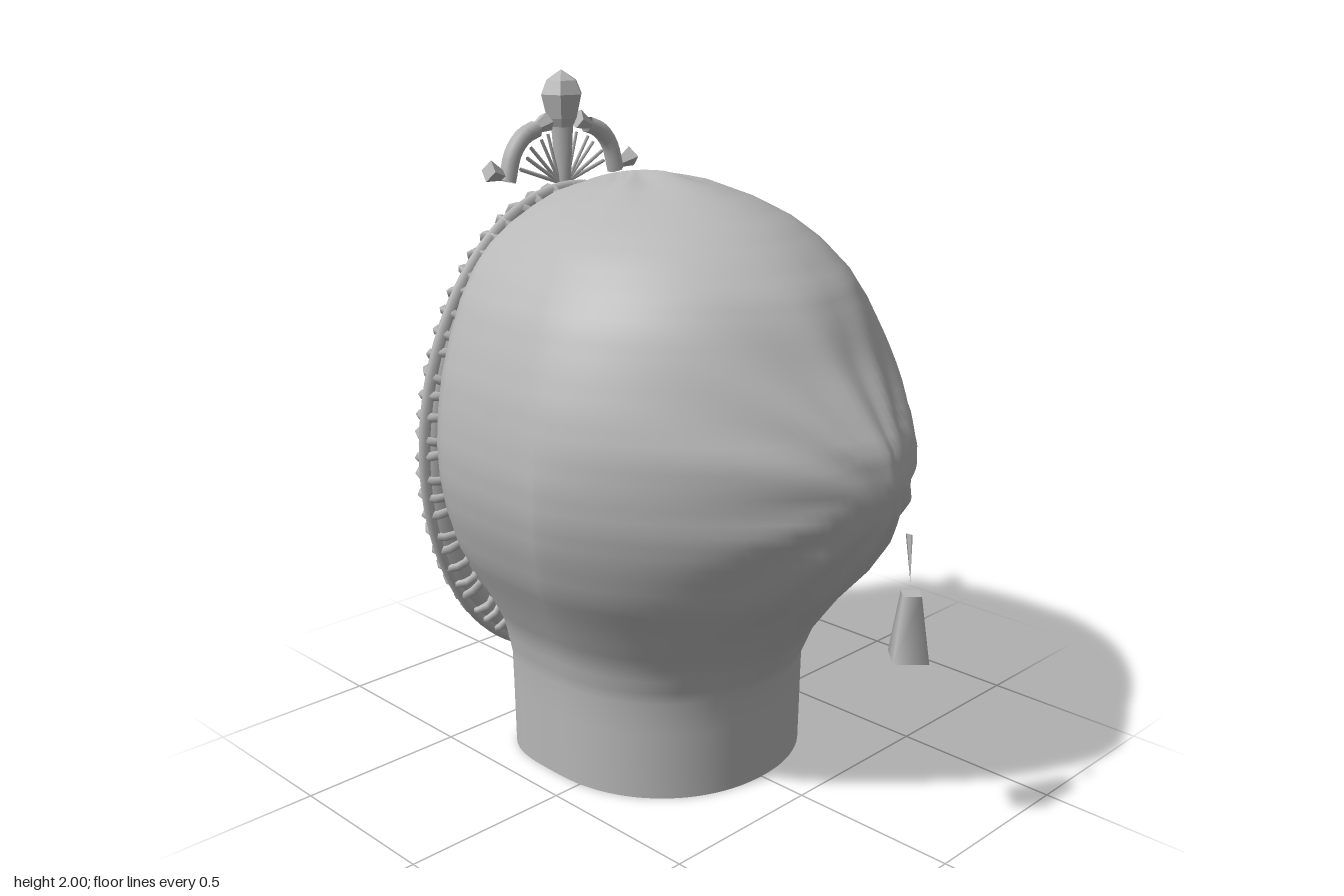
import * as THREE from 'three';

const grey = new THREE.MeshStandardMaterial({ color: 0xb8b8b8, side: THREE.DoubleSide });
grey.name = 'plain grey';
const V = (x, y, z) => new THREE.Vector3(x, y, z);

// Surface over a grid of (i, j) from a point function
function grid(nu, nv, fn) {
  const pos = [], idx = [];
  for (let i = 0; i <= nu; i++) for (let j = 0; j <= nv; j++) pos.push(...fn(i / nu, j / nv));
  for (let i = 0; i < nu; i++) for (let j = 0; j < nv; j++) {
    const a = i * (nv + 1) + j, b = a + nv + 1;
    idx.push(a, a + 1, b, a + 1, b + 1, b);
  }
  const g = new THREE.BufferGeometry();
  g.setAttribute('position', new THREE.Float32BufferAttribute(pos, 3));
  g.setIndex(idx);
  g.computeVertexNormals();
  return g;
}

// Linear lookup in a table of pairs sorted by the first value
function look(table, y) {
  for (let i = 1; i < table.length; i++) {
    const a = table[i - 1], b = table[i];
    if (y <= b[0]) return a[1] + (b[1] - a[1]) * Math.max(0, (y - a[0]) / (b[0] - a[0]));
  }
  return table[table.length - 1][1];
}

// Hood rows: height, half width, front reach, roundness
const HOOD = [
  [0, 0.415, 0.345, 2.1], [0.3, 0.42, 0.35, 2.1], [0.42, 0.445, 0.41, 2], [0.55, 0.51, 0.51, 1.85],
  [0.67, 0.575, 0.62, 1.7], [0.8, 0.62, 0.715, 1.55], [0.9, 0.64, 0.765, 1.5], [1, 0.645, 0.79, 1.45],
  [1.1, 0.635, 0.775, 1.48], [1.2, 0.615, 0.71, 1.55], [1.3, 0.58, 0.64, 1.65], [1.4, 0.535, 0.585, 1.7],
  [1.48, 0.48, 0.53, 1.75], [1.56, 0.41, 0.44, 1.8], [1.62, 0.33, 0.35, 1.9], [1.67, 0.24, 0.24, 2],
  [1.71, 0.14, 0.12, 2], [1.74, 0, -0.05, 2],
];
const BACK = -0.37;

function hoodPoint(u, v) {
  const row = u * (HOOD.length - 1) * 3;
  const k = Math.min(Math.floor(row / 3), HOOD.length - 2), f = row / 3 - k;
  const [y0, w, zf, p] = HOOD[k].map((a, c) => a + (HOOD[k + 1][c] - a) * f);
  const t = v * 2 - 1, s = Math.abs(t), zs = BACK + 0.41 * (zf - BACK);
  // the neck wraps further round than the upper hood
  const neck = 1 - THREE.MathUtils.smoothstep(y0, 0.25, 0.7);
  const corner = 0.08 + 0.1 * neck, lip = 0.1 + 0.08 * neck;
  let x, z, y = y0, front = 0;
  if (s > 0.94) {                       // turned-in lip at the open back
    x = w * (1 - corner - lip * (s - 0.94) / 0.06); z = BACK;
  } else if (s > 0.7) {                 // sides
    const q = (s - 0.7) / 0.24;
    x = w * (1 - corner * q ** 4); z = zs + (BACK - zs) * q;
  } else {                              // pointed front
    const a = (1 - s / 0.7) * Math.PI / 2;
    x = w * Math.max(0, Math.cos(a)) ** (2 / p);
    front = Math.sin(a);
    z = zs + (zf - zs) * front ** (2 / p);
  }
  x *= Math.sign(t);
  // folds that fan out from the tip
  const r = Math.hypot(x, y - 1);
  const fade = Math.min(1, r * 4) * Math.max(0, 1 - r / 0.75) * front;
  z += 0.014 * Math.sin(11 * Math.atan2(y - 1, x) + 0.6) * fade;
  // crown slopes down to the back, with small pleats round its pinch
  if (z < -0.05 && y > 1.5) y -= 0.05 * ((-0.05 - z) / 0.32) ** 2 * (y - 1.5) / 0.24;
  const c = Math.hypot(x, z + 0.17);
  if (y0 > 1.6) y += 0.007 * Math.sin(8 * Math.atan2(z + 0.17, x)) * Math.min(1, c * 6) * Math.max(0, 1 - c / 0.35);
  return [x, y, z];
}

// Oval frame, leaning a little with height
const MID = 0.92;
const lean = y => -0.5 + 0.045 * (y - MID);
function oval(rx, ry, dz = 0) {
  const pts = [];
  for (let i = 0; i < 40; i++) {
    const a = i / 40 * Math.PI * 2, y = MID + ry * Math.sin(a);
    pts.push(V(rx * Math.cos(a), y, lean(y) + dz));
  }
  return new THREE.CatmullRomCurve3(pts, true);
}

// Depth of the rear dome by height
const DOME = [[0.22, 0], [0.25, 0.06], [0.28, 0.1], [0.38, 0.21], [0.5, 0.285], [0.63, 0.31], [0.76, 0.295],
  [0.89, 0.27], [1.16, 0.22], [1.39, 0.14], [1.58, 0.075], [1.62, 0]];

function domePoint(u, v) {
  const a = v * Math.PI * 2, s = Math.sin(u * Math.PI / 2);
  const x = 0.465 * s * Math.cos(a), y = MID + 0.7 * s * Math.sin(a);
  let d = look(DOME, y) * Math.sqrt(Math.max(0, 1 - s * s * Math.cos(a) ** 2 / (1 - (s * Math.sin(a)) ** 2 + 1e-6)));
  // broken, sunken patch with a jagged lower edge
  const jag = 1.06 + 0.09 * Math.abs(((x * 5 + 10) % 1) * 2 - 1);
  if (x > -0.1 && x < 0.34 && y > jag && y < 1.4 - 0.5 * Math.abs(x - 0.15)) d -= 0.03;
  return [x, y, lean(y) - d];
}

export function createModel() {
  const root = new THREE.Group();
  const add = (geo, name, parent = root) => {
    const m = new THREE.Mesh(geo, grey);
    m.name = name;
    parent.add(m);
    return m;
  };
  const flat = g => { const n = g.toNonIndexed(); n.computeVertexNormals(); return n; };
  const tube = (pts, r, name, parent, sides = 6) =>
    add(new THREE.TubeGeometry(new THREE.CatmullRomCurve3(pts), 10, r, sides), name, parent);

  add(grid((HOOD.length - 1) * 3, 100, hoodPoint), 'hood');

  // Lining drum between hood and frame
  add(grid(3, 56, (u, v) => {
    const a = v * Math.PI * 2, y = MID + (0.71 - 0.04 * u) * Math.sin(a);
    return [0.49 * Math.cos(a), y, -0.37 + u * (lean(y) + 0.37)];
  }), 'lining');
  add(grid(30, 80, domePoint), 'rearDome');

  // Frame: core, two rails and wrapped bands
  const frame = new THREE.Group();
  frame.name = 'ovalFrame';
  root.add(frame);
  const core = oval(0.505, 0.7, -0.005);
  add(new THREE.TubeGeometry(core, 96, 0.042, 8, true), 'frameCore', frame);
  add(new THREE.TubeGeometry(oval(0.55, 0.74, 0.005), 96, 0.018, 6, true), 'outerRail', frame);
  add(new THREE.TubeGeometry(oval(0.46, 0.66, -0.02), 96, 0.014, 6, true), 'innerRail', frame);
  const band = new THREE.TorusGeometry(0.046, 0.014, 5, 10);
  for (let i = 0; i < 64; i++) {
    const m = add(band, 'wrapBand', frame);
    const t = core.getTangentAt(i / 64);
    t.z += 0.3 * Math.sin(i * 2.4);
    m.position.copy(core.getPointAt(i / 64));
    m.quaternion.setFromUnitVectors(V(0, 0, 1), t.normalize());
  }

  // Crest with bud, curls and fan of spokes
  const crest = new THREE.Group();
  crest.name = 'crest';
  crest.position.z = -0.49;
  root.add(crest);
  add(new THREE.CylinderGeometry(0.034, 0.022, 0.19, 6), 'crestPost', crest).position.y = 1.755;
  const bud = add(flat(new THREE.LatheGeometry([
    [0.001, 1.83], [0.036, 1.835], [0.05, 1.86], [0.068, 1.93], [0.05, 1.97], [0.001, 2]
  ].map(p => new THREE.Vector2(...p)), 6)), 'crestBud', crest);
  bud.rotation.y = 0.3;
  for (const s of [-1, 1]) {
    tube([V(s * 0.1, 1.835, 0), V(s * 0.15, 1.815, 0), V(s * 0.19, 1.77, 0), V(s * 0.215, 1.69, 0)], 0.026, 'curl', crest);
    const leaf = add(flat(new THREE.ConeGeometry(0.032, 0.1, 4)), 'leaf', crest);
    leaf.position.set(s * 0.235, 1.71, 0);
    leaf.rotation.z = s * 1.9;
    const tip = add(flat(new THREE.ConeGeometry(0.03, 0.1, 5)), 'curlTip', crest);
    tip.position.set(s * 0.105, 1.835, 0);
    tip.rotation.z = -s * 1.95;
    for (let i = 0; i < 5; i++) {
      const a = 0.35 + i * 0.24;
      tube([V(s * 0.015, 1.67, 0), V(s * (0.015 + 0.16 * Math.cos(a)), 1.67 + 0.15 * Math.sin(a), 0.012 * (i % 2))],
        0.006, 'spoke', crest, 4);
    }
  }

  // Hanging bell and its flat cord at the front
  add(new THREE.CylinderGeometry(0.034, 0.067, 0.18, 4), 'bell').position.set(0, 0.64, 0.85);
  const cord = add(new THREE.ConeGeometry(0.011, 0.13, 6), 'cord');
  cord.position.set(0, 0.825, 0.84);
  cord.rotation.x = Math.PI - 0.08;
  cord.scale.x = 0.1;

  // Small hanging rod at the back
  const rod = add(flat(new THREE.CylinderGeometry(0.024, 0.018, 0.17, 4)), 'rearRod');
  rod.position.set(0, 0.935, -0.888);
  rod.rotation.x = 0.13;
  return root;
}
